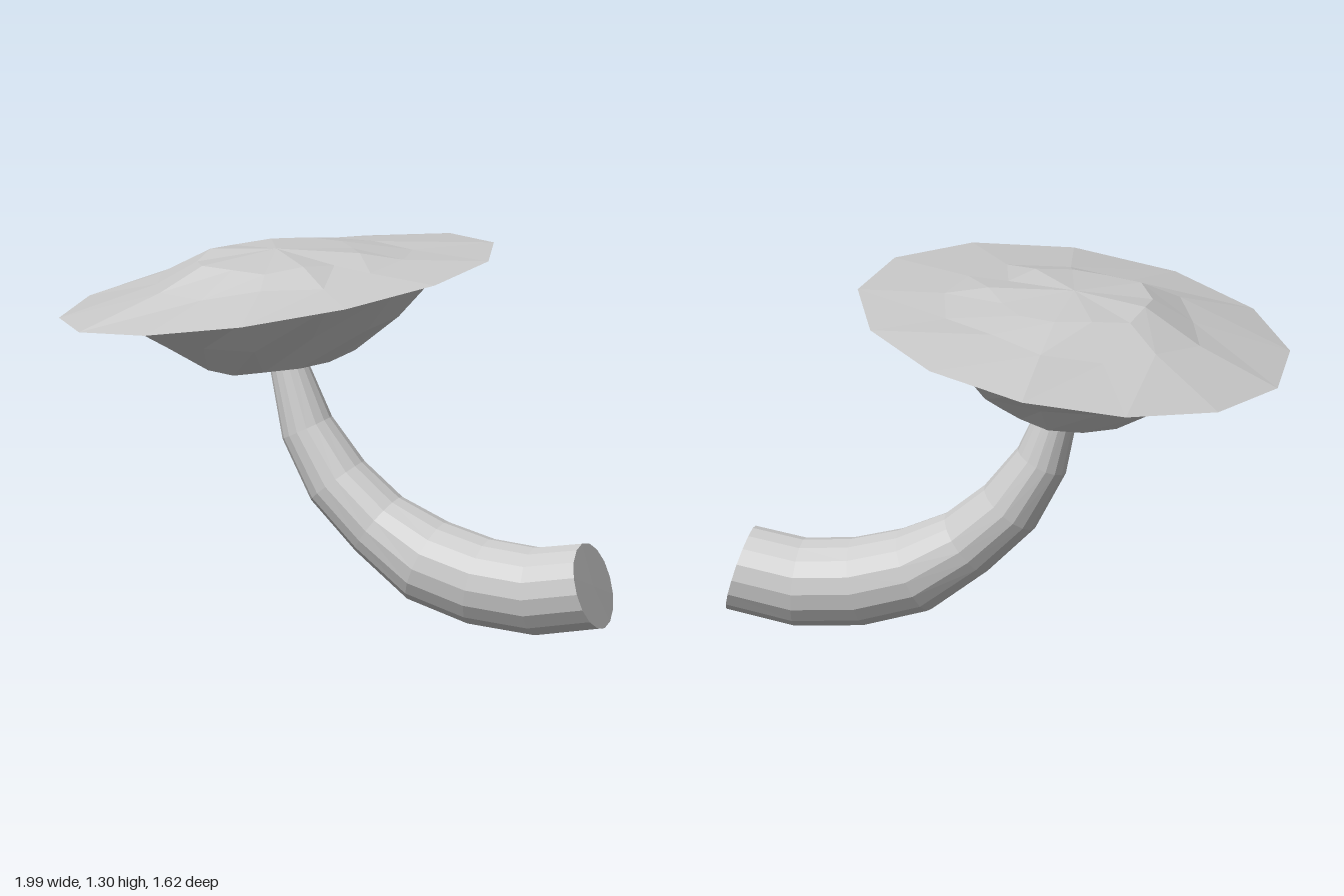
import * as THREE from 'three';

const SIDES = 13;

// Surface through a list of equal rings, with an optional fan to a point at each end.
function loft(rings, startPoint, endPoint) {
  const n = rings[0].length;
  const points = rings.flat();
  const index = [];
  for (let i = 0; i < rings.length - 1; i++) {
    for (let j = 0; j < n; j++) {
      const k = (j + 1) % n;
      const a = i * n + j, b = i * n + k, c = a + n, d = b + n;
      index.push(a, b, d, a, d, c);
    }
  }
  const fan = (tip, base, flip) => {
    points.push(tip);
    for (let j = 0; j < n; j++) {
      const a = base + j, b = base + ((j + 1) % n);
      index.push(points.length - 1, flip ? b : a, flip ? a : b);
    }
  };
  if (startPoint) fan(startPoint, 0, true);
  if (endPoint) fan(endPoint, (rings.length - 1) * n, false);
  const geometry = new THREE.BufferGeometry().setFromPoints(points);
  geometry.setIndex(index);
  const flat = geometry.toNonIndexed();
  flat.computeVertexNormals();
  return flat;
}

// Tilted, slightly uneven ellipse around the vertical.
function tiltedRing({ x, z, rx, rz, y, slope, zSlope = 0, rough = 0, phase = 0 }) {
  return Array.from({ length: SIDES }, (_, j) => {
    const a = Math.PI / 2 + (j * 2 * Math.PI) / SIDES;
    const wobble = rough * Math.sin(j * 2.4 + phase);
    const px = x + rx * (1 + wobble) * Math.cos(a);
    const pz = z - rz * (1 + wobble) * Math.sin(a);
    const py = y + slope * (px - x) + zSlope * (pz - z) + 0.15 * rough * Math.sin(j * 3.7 + phase);
    return new THREE.Vector3(px, py, pz);
  });
}

// Round ring spanned by its lower and upper point in the side plane.
function stemRing([x0, y0, x1, y1], sides = 16) {
  const z = 0.027;
  const centre = new THREE.Vector3((x0 + x1) / 2, (y0 + y1) / 2, z);
  const up = new THREE.Vector3((x1 - x0) / 2, (y1 - y0) / 2, 0);
  const radius = up.length();
  return Array.from({ length: sides }, (_, j) => {
    const a = (j * 2 * Math.PI) / sides;
    const p = centre.clone().addScaledVector(up, Math.cos(a));
    p.z -= radius * Math.sin(a);
    return p;
  });
}

export function createModel() {
  const group = new THREE.Group();
  const solid = new THREE.MeshStandardMaterial({ color: 0xcccccc, flatShading: true });
  const thin = new THREE.MeshStandardMaterial({ color: 0xcccccc, flatShading: true, side: THREE.DoubleSide });
  const add = (name, geometry, material) => {
    const mesh = new THREE.Mesh(geometry, material);
    mesh.name = name;
    group.add(mesh);
  };

  // Curved stem, from the cut base to the narrow top inside the cap
  const stemRings = [
    [0.995, 0.05, 0.91, 0.345],
    [0.75, 0.005, 0.73, 0.315],
    [0.5, 0.025, 0.56, 0.33],
    [0.27, 0.095, 0.39, 0.375],
    [0.07, 0.25, 0.22, 0.45],
    [-0.1, 0.42, 0.08, 0.565],
    [-0.21, 0.63, -0.04, 0.715],
    [-0.26, 0.88, -0.13, 0.91],
    [-0.265, 1.03, -0.135, 1.04],
  ].map((r) => stemRing(r));
  add('stem', loft(stemRings, new THREE.Vector3(0.953, 0.198, 0.027), new THREE.Vector3(-0.2, 1.035, 0.027)), solid);

  // Thin cap: wide tilted brim, then a low dome
  const capRings = [
    { x: -0.245, z: 0, rx: 0.757, rz: 0.82, y: 1.168, slope: 0.168 },
    { x: -0.235, z: 0.01, rx: 0.45, rz: 0.47, y: 1.225, slope: 0.13, rough: 0.06, phase: 1 },
    { x: -0.235, z: 0.03, rx: 0.28, rz: 0.29, y: 1.28, slope: 0.06, rough: 0.06, phase: 3 },
  ].map(tiltedRing);
  add('cap', loft(capRings, null, new THREE.Vector3(-0.24, 1.303, 0.03)), thin);

  // Gill body under the cap, bowl shaped with a dent around the stem
  const gillRings = [
    { x: -0.2, z: 0.02, rx: 0.15, rz: 0.16, y: 0.95, slope: 0.1 },
    { x: -0.23, z: 0, rx: 0.25, rz: 0.33, y: 0.91, slope: 0.12, zSlope: 0.02, rough: 0.05, phase: 2 },
    { x: -0.23, z: 0.02, rx: 0.42, rz: 0.49, y: 1.03, slope: 0.13, zSlope: 0.02, rough: 0.05, phase: 4 },
    { x: -0.23, z: 0.03, rx: 0.575, rz: 0.66, y: 1.148, slope: 0.17, zSlope: 0.03, rough: 0.02 },
  ].map(tiltedRing);
  add('gills', loft(gillRings, new THREE.Vector3(-0.2, 0.98, 0.02), null), thin);

  return group;
}
